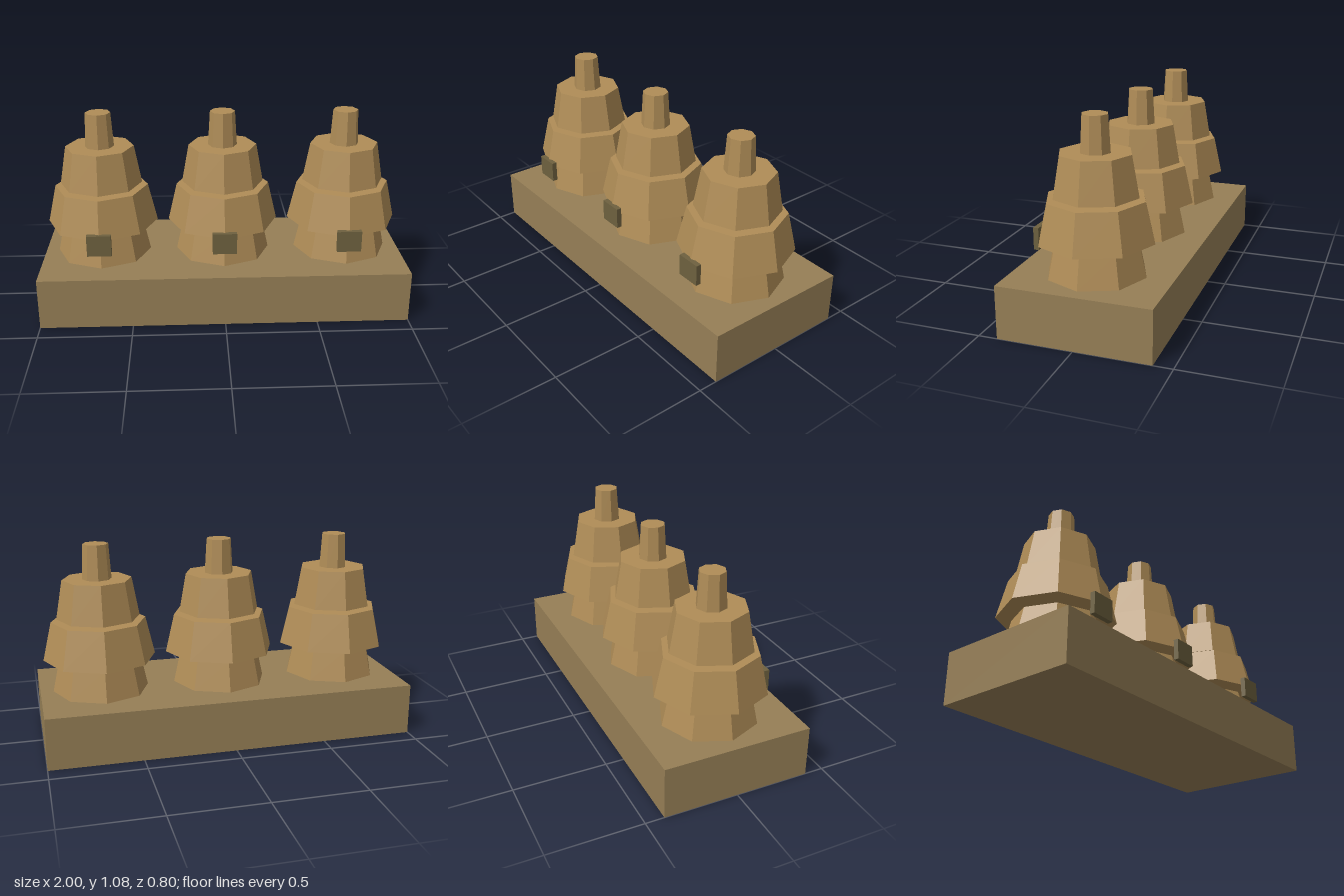
import * as THREE from 'three';

export function createModel() {
  const model = new THREE.Group();
  model.name = 'insulatorBank';

  const bronze = new THREE.MeshStandardMaterial({ color: 0xb08d57 });
  bronze.name = 'bronze';
  const darkBronze = new THREE.MeshStandardMaterial({ color: 0x967f56 });
  darkBronze.name = 'dull bronze';
  const plateBrown = new THREE.MeshStandardMaterial({ color: 0x6e613f });
  plateBrown.name = 'plate brown';

  const add = (parent, name, geometry, material, x, y, z) => {
    const mesh = new THREE.Mesh(geometry, material);
    mesh.name = name;
    mesh.position.set(x, y, z);
    parent.add(mesh);
  };

  // Plinth
  add(model, 'base', new THREE.BoxGeometry(2, 0.28, 0.8), darkBronze, 0, 0.14, 0);

  // Eight-sided tiers: name, bottom y, top y, bottom radius, top radius
  const tiers = [
    ['lowerTier', 0.28, 0.445, 0.26, 0.224],
    ['middleTier', 0.46, 0.67, 0.304, 0.255],
    ['upperTier', 0.685, 0.896, 0.224, 0.186],
    ['spout', 0.896, 1.084, 0.079, 0.068],
  ];

  // Three identical stacks, each with a small plate at the front
  for (const x of [-0.67, 0, 0.67]) {
    const stack = new THREE.Group();
    stack.name = 'stack';
    stack.position.x = x;
    for (const [name, y0, y1, r0, r1] of tiers) {
      // Separate faces give the facets hard edges
      const geometry = new THREE.CylinderGeometry(r1, r0, y1 - y0, 8).toNonIndexed();
      geometry.computeVertexNormals();
      add(stack, name, geometry, bronze, 0, (y0 + y1) / 2, 0);
    }
    add(stack, 'frontPlate', new THREE.BoxGeometry(0.13, 0.116, 0.028), plateBrown, 0, 0.437, 0.3);
    model.add(stack);
  }

  return model;
}
